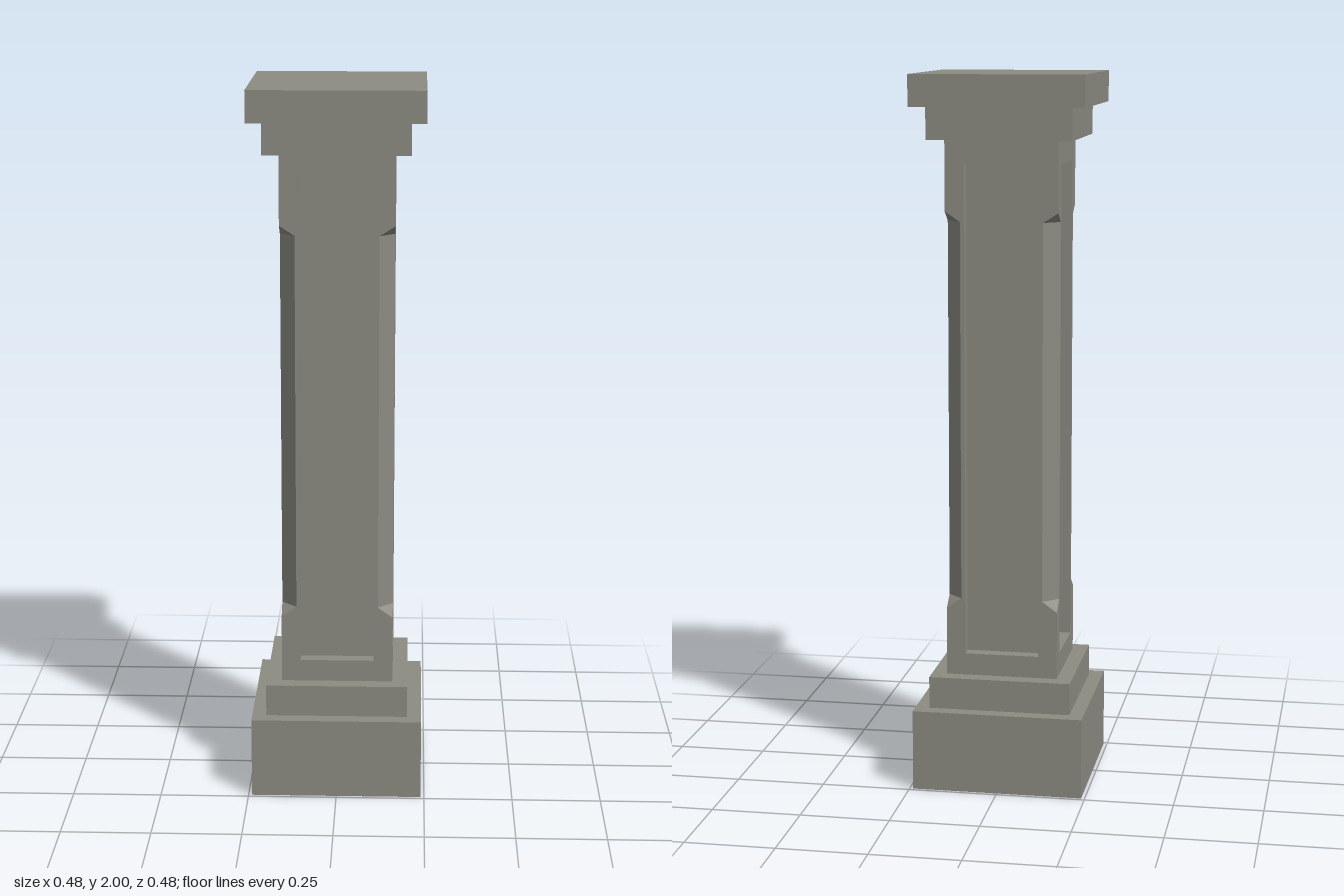
import * as THREE from 'three';

const SHAFT = 0.157;                    // half width of the shaft
const CUT = 0.115;                      // where the corner chamfer meets each face
const PANEL = 0.104, DEPTH = 0.12;      // panel half width, and its distance from the axis
const P0 = 0.38, P1 = 1.756;            // panel bottom and top
const Y0 = 0.318, Y1 = 1.823;           // shaft bottom and top

// Flat faces, each a list of corners in counter-clockwise order
function faces(polygons) {
  const pos = [];
  for (const p of polygons)
    for (let i = 1; i < p.length - 1; i++) pos.push(...p[0], ...p[i], ...p[i + 1]);
  const g = new THREE.BufferGeometry();
  g.setAttribute('position', new THREE.Float32BufferAttribute(pos, 3));
  g.computeVertexNormals();
  return g;
}

// Square stepped moulding from a profile of [half width, height]
function squareMoulding(profile) {
  const pts = profile.map(([r, y]) => new THREE.Vector2(r * Math.SQRT2, y));
  const g = new THREE.LatheGeometry(pts, 4, Math.PI / 4).toNonIndexed();
  g.computeVertexNormals();
  return g;
}

export function createModel() {
  const model = new THREE.Group();
  model.name = 'pillar';
  const stone = new THREE.MeshStandardMaterial({ color: 0x8b8b82, side: THREE.DoubleSide });
  stone.name = 'grey stone';
  const add = (parent, geometry, name) => {
    const mesh = new THREE.Mesh(geometry, stone);
    mesh.name = name;
    parent.add(mesh);
  };

  // Base, open underneath, and closed capital
  add(model, squareMoulding([[0.24, 0], [0.24, 0.228], [0.2, 0.228], [0.2, Y0], [SHAFT, Y0]]), 'base');
  add(model, squareMoulding([[SHAFT, Y1], [0.2, Y1], [0.2, 1.913], [0.24, 1.913], [0.24, 2], [0, 2]]), 'capital');

  // Shaft face with notched edges and a panel opening
  const half = [[SHAFT, Y0], [SHAFT, 0.51], [CUT, 0.54], [CUT, 1.6], [SHAFT, 1.627], [SHAFT, Y1]];
  const outline = [...half, ...half.map(([x, y]) => [-x, y]).reverse()];
  const vec = ([x, y]) => new THREE.Vector2(x, y);
  const frame = new THREE.Shape(outline.map(vec));
  const corners = [[-PANEL, P0], [PANEL, P0], [PANEL, P1], [-PANEL, P1]];
  frame.holes.push(new THREE.Path(corners.map(vec)));
  const frameGeometry = new THREE.ShapeGeometry(frame).translate(0, 0, SHAFT);

  // Recessed panel and the walls around it
  const recess = faces([
    corners.map(([x, y]) => [x, y, DEPTH]),
    ...corners.map((a, i) => {
      const b = corners[(i + 1) % 4];
      return [[...a, SHAFT], [...b, SHAFT], [...b, DEPTH], [...a, DEPTH]];
    }),
  ]);

  // Stopped chamfer along one corner
  const a = (y) => [CUT, y, SHAFT], b = (y) => [SHAFT, y, CUT], tip = (y) => [SHAFT, y, SHAFT];
  const chamfer = faces([
    [tip(0.51), b(0.54), a(0.54)],
    [a(0.54), b(0.54), b(1.6), a(1.6)],
    [tip(1.627), a(1.6), b(1.6)],
  ]);

  for (let i = 0; i < 4; i++) {
    const side = new THREE.Group();
    side.name = 'shaftSide' + (i + 1);
    side.rotation.y = i * Math.PI / 2;
    add(side, frameGeometry, 'panelFrame');
    add(side, recess, 'recessedPanel');
    add(side, chamfer, 'cornerChamfer');
    model.add(side);
  }
  return model;
}
